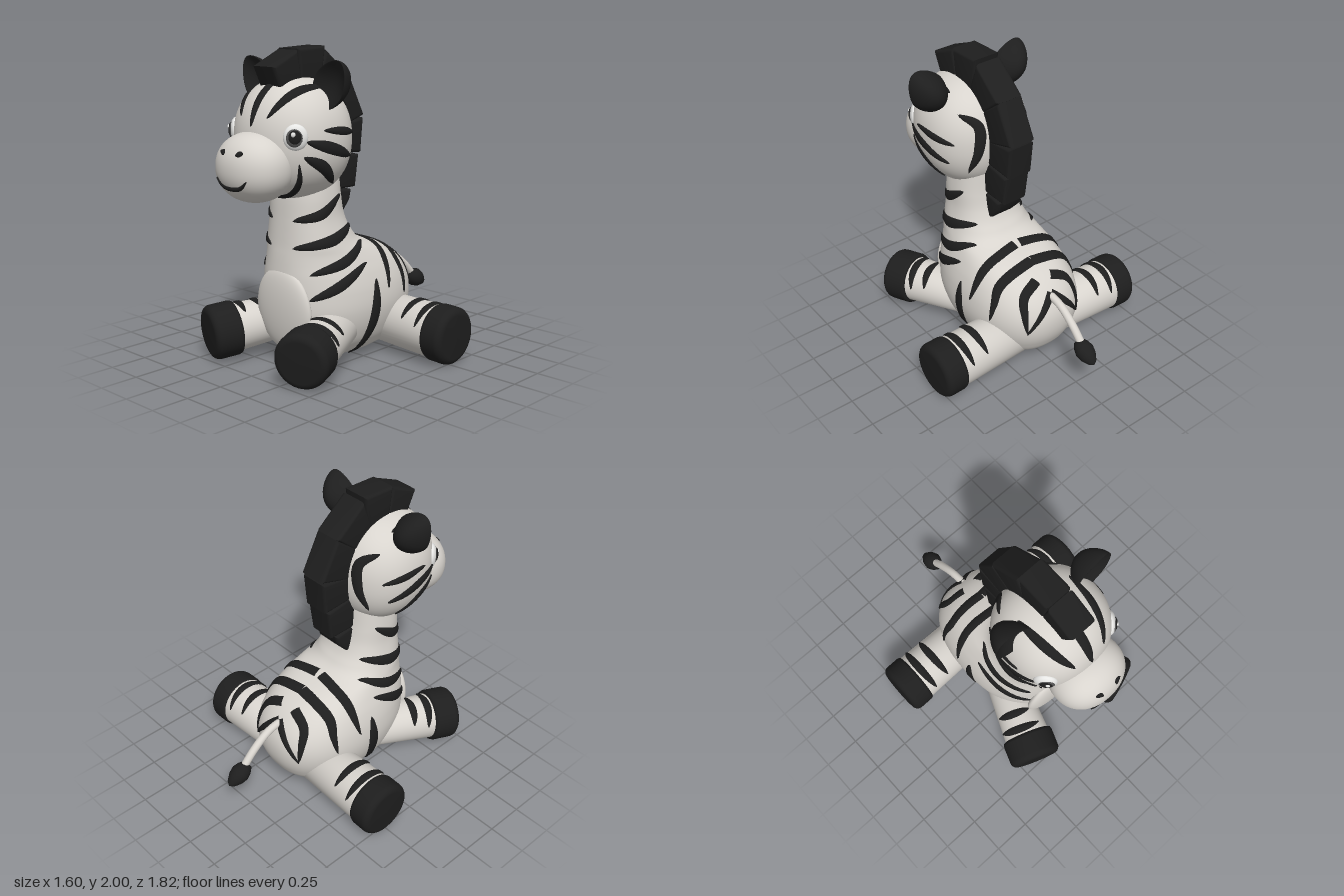
import * as THREE from 'three';
import { toCreasedNormals } from 'three/addons/utils/BufferGeometryUtils.js';

const V = (x, y, z) => new THREE.Vector3(x, y, z);
const std = (name, color, side = THREE.FrontSide) => {
  const m = new THREE.MeshStandardMaterial({ color, side });
  m.name = name;
  return m;
};

export function createModel() {
  const group = new THREE.Group();
  const white = std('warmWhite', 0xd8d4ce);
  const black = std('softBlack', 0x1e1e1e, THREE.DoubleSide);
  const grey = std('eyeGrey', 0x555555);
  const bright = std('eyeWhite', 0xececea);

  const add = (name, geo, mat) => {
    const m = new THREE.Mesh(geo, mat);
    m.name = name;
    group.add(m);
    return m;
  };
  // Adds a part on the left (+x) and its mirror image on the right
  const pair = (name, geo, mat) => {
    add(name + 'Left', geo, mat);
    const g = geo.clone().scale(-1, 1, 1);
    const idx = g.index ? Array.from(g.index.array) : Array.from({ length: g.attributes.position.count }, (_, i) => i);
    g.setIndex(idx.reverse());
    add(name + 'Right', g, mat);
  };

  // --- Implicit surfaces: value, slope and projection ---
  const superellipsoid = (c, r, n) => (p) =>
    (Math.abs((p.x - c.x) / r.x) ** n + Math.abs((p.y - c.y) / r.y) ** n + Math.abs((p.z - c.z) / r.z) ** n) ** (1 / n) - 1;
  const slope = (f, p) => {
    const e = 1e-3;
    return V(f(V(p.x + e, p.y, p.z)) - f(V(p.x - e, p.y, p.z)),
      f(V(p.x, p.y + e, p.z)) - f(V(p.x, p.y - e, p.z)),
      f(V(p.x, p.y, p.z + e)) - f(V(p.x, p.y, p.z - e))).divideScalar(2 * e);
  };
  const project = (f, p) => {
    const q = p.clone();
    for (let i = 0; i < 8; i++) {
      const g = slope(f, q);
      const step = -f(q) / Math.max(g.lengthSq(), 1e-6);
      q.add(g.multiplyScalar(step).clampLength(0, 0.05));
    }
    return q;
  };
  // Side-on [z, y] points dropped onto the left flank of a surface
  const flank = (f, pts) => pts.map(([z, y]) => {
    let lo = 0, hi = 0.6;
    for (let i = 0; i < 20; i++) {
      const mid = (lo + hi) / 2;
      if (f(V(mid, y, z)) > 0) hi = mid; else lo = mid;
    }
    return V(lo, y, z);
  });
  // Tapered band hugging a surface; an open band keeps full width at its start
  const band = (f, pts, width, open = false, lift = 0.008) => {
    const N = 30, curve = new THREE.CatmullRomCurve3(pts);
    const mid = Array.from({ length: N + 1 }, (_, i) => project(f, curve.getPoint(i / N)));
    const pos = [], idx = [];
    mid.forEach((p, i) => {
      const t = i / N;
      const along = mid[Math.min(i + 1, N)].clone().sub(mid[Math.max(i - 1, 0)]).normalize();
      const side = slope(f, p).normalize().cross(along).normalize();
      const taper = Math.max(0, open ? Math.cos(t * Math.PI / 2) : Math.sin(t * Math.PI)) ** 0.6;
      for (let j = -2; j <= 2; j++) {
        const q = project(f, p.clone().addScaledVector(side, width * taper * j / 4));
        q.addScaledVector(slope(f, q).normalize(), Math.abs(j) === 2 ? -0.002 : lift);
        pos.push(q.x, q.y, q.z);
        if (i < N && j < 2) {
          const a = i * 5 + j + 2, b = a + 5;
          idx.push(a, b, a + 1, b, b + 1, a + 1);
        }
      }
    });
    const g = new THREE.BufferGeometry();
    g.setAttribute('position', new THREE.Float32BufferAttribute(pos, 3));
    g.setIndex(idx);
    g.computeVertexNormals();
    return g;
  };

  // --- Body and neck: stacked cross-sections (y, front z, back z, half width) ---
  const rows = [
    [0.01, 0.03, -0.03, 0.02], [0.025, 0.18, -0.2, 0.14], [0.06, 0.32, -0.34, 0.225], [0.12, 0.41, -0.44, 0.29],
    [0.22, 0.47, -0.51, 0.345], [0.35, 0.5, -0.545, 0.378], [0.48, 0.505, -0.53, 0.375], [0.59, 0.505, -0.465, 0.35],
    [0.67, 0.5, -0.37, 0.32], [0.73, 0.495, -0.24, 0.295], [0.78, 0.49, -0.09, 0.275], [0.86, 0.485, -0.005, 0.25],
    [0.96, 0.48, 0.045, 0.228], [1.08, 0.475, 0.07, 0.22], [1.25, 0.46, 0.08, 0.2]];
  const spline = new THREE.CubicInterpolant(rows.map((r) => r[0]), rows.flatMap((r) => r.slice(1)), 3, new Float32Array(3));
  const section = (y) => {
    const [zf, zb, w] = spline.evaluate(Math.min(Math.max(y, 0.01), 1.25));
    return { zc: (zf + zb) / 2, rz: (zf - zb) / 2, w };
  };
  const nB = 2.35;
  const bodyF = (p) => {
    const { zc, rz, w } = section(p.y);
    return (Math.abs(p.x / w) ** nB + Math.abs((p.z - zc) / rz) ** nB) ** (1 / nB) - 1;
  };
  {
    const R = 100, S = 64, pos = [], nor = [], idx = [];
    for (let i = 0; i <= R; i++) {
      const y = 0.01 + 1.24 * (i / R) ** 1.4;
      const { zc, rz, w } = section(y);
      for (let j = 0; j <= S; j++) {
        const a = (j / S) * Math.PI * 2, s = Math.sin(a), c = Math.cos(a);
        const k = (Math.abs(s) ** nB + Math.abs(c) ** nB) ** (-1 / nB);
        const p = V(w * s * k, y, zc + rz * c * k);
        const n = slope(bodyF, p).normalize();
        pos.push(p.x, p.y, p.z);
        nor.push(n.x, n.y, n.z);
        if (i < R && j < S) {
          const q = i * (S + 1) + j, u = q + S + 1;
          idx.push(q, q + 1, u + 1, q, u + 1, u);
        }
      }
    }
    const g = new THREE.BufferGeometry();
    g.setAttribute('position', new THREE.Float32BufferAttribute(pos, 3));
    g.setAttribute('normal', new THREE.Float32BufferAttribute(nor, 3));
    g.setIndex(idx);
    add('body', g, white);
  }

  // Raised belly patch
  const belly = new THREE.SphereGeometry(1, 40, 24).scale(0.235, 0.27, 0.06).rotateX(0.06).translate(0, 0.375, 0.466);
  add('bellyPatch', belly, white);

  // Body stripes as [z, y] paths with width; open ones meet across the spine
  [
    [0.075, [[0.47, 0.95], [0.33, 1.0], [0.18, 1.1]]],
    [0.08, [[0.48, 0.78], [0.28, 0.83], [0.07, 0.89]]],
    [0.075, [[0.44, 0.62], [0.22, 0.69], [0.01, 0.78]]],
    [0.075, [[0.45, 0.46], [0.28, 0.55], [0.06, 0.66]]],
    [0.095, [[0.01, 0.55], [0.02, 0.38], [0.04, 0.2], [0.08, 0.04]]],
    [0.075, [[-0.12, 0.768], [-0.13, 0.67], [-0.12, 0.58], [-0.1, 0.47]], true],
    [0.08, [[-0.27, 0.719], [-0.275, 0.63], [-0.29, 0.53], [-0.28, 0.4]], true],
    [0.075, [[-0.39, 0.655], [-0.42, 0.59], [-0.47, 0.48], [-0.49, 0.35]], true],
  ].forEach(([w, pts, open]) => pair('bodyStripe', band(bodyF, flank(bodyF, pts), w, open), black));
  pair('rumpStripe', band(bodyF, [V(0, 0.58, -0.47), V(0.1, 0.49, -0.52), V(0.22, 0.34, -0.51)], 0.06, true), black);

  // --- Head and muzzle ---
  const blob = (name, c, r, n) => {
    const f = superellipsoid(c, r, n);
    const g = new THREE.SphereGeometry(1, 56, 40), P = g.attributes.position, Nn = g.attributes.normal;
    for (let i = 0; i < P.count; i++) {
      const d = V().fromBufferAttribute(P, i);
      const k = (Math.abs(d.x) ** n + Math.abs(d.y) ** n + Math.abs(d.z) ** n) ** (-1 / n);
      d.multiplyScalar(k).multiply(r).add(c);
      const nn = slope(f, d).normalize();
      P.setXYZ(i, d.x, d.y, d.z);
      Nn.setXYZ(i, nn.x, nn.y, nn.z);
    }
    add(name, g, white);
    return f;
  };
  const headF = blob('head', V(0, 1.455, 0.38), V(0.355, 0.375, 0.35), 2.2);
  const muzzleF = blob('muzzle', V(0, 1.305, 0.7), V(0.247, 0.212, 0.21), 2.15);

  [
    [0.055, [[0.46, 1.53], [0.3, 1.515], [0.15, 1.49]]],
    [0.08, [[0.57, 1.47], [0.4, 1.42], [0.19, 1.35]]],
    [0.08, [[0.58, 1.38], [0.45, 1.31], [0.3, 1.19]]],
    [0.08, [[0.18, 1.68], [0.08, 1.61], [0.06, 1.45], [0.12, 1.28]]],
  ].forEach(([w, pts]) => pair('cheekStripe', band(headF, flank(headF, pts), w), black));
  pair('jawStripe', band(headF, [V(0, 1.1, 0.52), V(0.15, 1.12, 0.54), V(0.25, 1.21, 0.57), V(0.28, 1.34, 0.6)], 0.06, true), black);
  pair('foreheadStripe', band(headF, [V(0.2, 1.77, 0.3), V(0.18, 1.74, 0.5), V(0.11, 1.6, 0.69)], 0.07), black);
  add('foreheadStripeMiddle', band(headF, [V(0, 1.82, 0.46), V(0, 1.73, 0.6), V(0, 1.55, 0.73)], 0.07), black);
  add('mouth', band(muzzleF, [V(-0.125, 1.255, 0.87), V(-0.07, 1.21, 0.87), V(0, 1.195, 0.88), V(0.07, 1.21, 0.87), V(0.125, 1.255, 0.87)], 0.036), black);
  pair('nostril', band(muzzleF, [V(0.05, 1.39, 0.88), V(0.07, 1.407, 0.88), V(0.095, 1.41, 0.87)], 0.04), black);

  // Eyes: layered flattened domes facing outward and forward
  const dome = (name, r, depth, dx, dy, dz, mat) => {
    const g = new THREE.SphereGeometry(1, 28, 18).scale(r, r * 1.08, depth).translate(dx, dy, dz);
    pair(name, g.rotateY(0.85).translate(0.262, 1.495, 0.612), mat);
  };
  dome('eyeball', 0.074, 0.035, 0, 0, 0, bright);
  dome('iris', 0.052, 0.022, -0.006, 0, 0.019, grey);
  dome('pupil', 0.04, 0.016, -0.006, 0.004, 0.029, black);
  dome('eyeHighlight', 0.014, 0.008, -0.016, 0.022, 0.041, bright);

  // Ears: leaf-shaped dished shells
  const ear = new THREE.SphereGeometry(1, 32, 24);
  for (let i = 0, P = ear.attributes.position; i < P.count; i++) {
    const x = P.getX(i), y = P.getY(i), z = P.getZ(i), r2 = x * x + y * y;
    P.setXYZ(i, x * (1 - 0.22 * Math.max(0, y)), y, (z > 0 ? z * 0.15 : z) + 0.75 * r2);
  }
  ear.computeVertexNormals();
  pair('ear', ear.scale(0.122, 0.165, 0.085).rotateZ(-0.6).translate(0.315, 1.79, 0.325), black);

  // Mane: rounded blocks, outlines in [z, y]
  [
    [[0.61, 1.9], [0.42, 1.975], [0.38, 1.76], [0.54, 1.72]],
    [[0.41, 1.99], [0.19, 2.0], [0.22, 1.78], [0.39, 1.77]],
    [[0.18, 1.965], [-0.03, 1.82], [0.12, 1.66], [0.24, 1.78]],
    [[-0.05, 1.79], [-0.16, 1.55], [0.06, 1.49], [0.12, 1.68]],
    [[-0.16, 1.53], [-0.14, 1.32], [0.08, 1.33], [0.08, 1.5]],
    [[-0.115, 1.3], [-0.09, 1.1], [0.12, 1.1], [0.1, 1.33]],
    [[-0.045, 1.08], [-0.035, 1.01], [0.07, 0.92], [0.12, 1.1]],
  ].forEach((pts) => {
    const b = 0.022, c = [0, 1].map((k) => pts.reduce((s, p) => s + p[k], 0) / 4);
    const shape = new THREE.Shape(pts.map(([z, y]) =>
      new THREE.Vector2(z - Math.sign(z - c[0]) * b * 0.7, y - Math.sign(y - c[1]) * b * 0.7)));
    const g = new THREE.ExtrudeGeometry(shape, { depth: 0.19 - 2 * b, bevelSize: b, bevelThickness: b, bevelSegments: 4 });
    g.translate(0, 0, b - 0.095).rotateY(-Math.PI / 2);
    add('maneBlock', toCreasedNormals(g, 0.6), black);
  });

  // --- Legs: round limbs with dark hooves and striped tops ---
  const leg = (name, from, to, r0, r1, rHoof, hoof, arcs) => {
    const dir = to.clone().sub(from), L = dir.length();
    dir.normalize();
    const down = V(0, -1, 0).addScaledVector(dir, dir.y).normalize();
    const m = new THREE.Matrix4().makeBasis(down, dir, down.clone().cross(dir)).setPosition(from);
    const lathe = (pts) => new THREE.LatheGeometry(pts.map((p) => new THREE.Vector2(...p)), 48).applyMatrix4(m);
    const rad = (y) => r0 + (r1 - r0) * (y / L), s = L - hoof, e = 0.045;
    pair(name, lathe([[0, 0], [r0, 0], [rad(s + 0.02), s + 0.02]]), white);
    const rim = [0, 1, 2, 3, 4, 5].map((i) => i * Math.PI / 10)
      .map((a) => [rHoof - e + e * Math.cos(a), L - e + e * Math.sin(a)]);
    pair(name + 'Hoof', lathe([[0, s], [rHoof - 0.025, s], [rHoof - 0.006, s + 0.008], [rHoof, s + 0.025], ...rim, [0, L + 0.004]]), black);
    const f = (p) => Math.hypot(p.x, p.z) / rad(p.y) - 1;
    arcs.forEach(([y, a0, a1, w]) => {
      const pts = [0, 1, 2, 3, 4, 5, 6].map((i) => {
        const a = a0 + (a1 - a0) * i / 6;
        return V(-Math.cos(a) * rad(y), y + 0.02 * Math.cos(a), Math.sin(a) * rad(y));
      });
      pair(name + 'Stripe', band(f, pts, w).applyMatrix4(m), black);
    });
  };
  leg('hindLeg', V(0.15, 0.215, -0.265), V(0.795, 0.193, -0.268), 0.165, 0.178, 0.187, 0.16,
    [[0.43, -1.25, 1.25, 0.06], [0.31, -1.1, 1.1, 0.06]]);
  leg('frontLeg', V(0.2, 0.25, 0.18), V(0.412, 0.187, 0.745), 0.135, 0.165, 0.178, 0.19,
    [[0.36, -1.4, 0.7, 0.06], [0.25, -1.2, 0.5, 0.06]]);

  // --- Tail with tuft ---
  const tailPath = new THREE.CatmullRomCurve3([V(0, 0.565, -0.45), V(0, 0.54, -0.57), V(0, 0.46, -0.69), V(0, 0.36, -0.79)]);
  add('tail', new THREE.TubeGeometry(tailPath, 24, 0.026, 14), white);
  const tuft = new THREE.LatheGeometry([[0, 0], [0.032, 0.006], [0.052, 0.04], [0.063, 0.08], [0.054, 0.125], [0.028, 0.172], [0, 0.19]]
    .map((p) => new THREE.Vector2(...p)), 28);
  tuft.applyQuaternion(new THREE.Quaternion().setFromUnitVectors(V(0, 1, 0), V(0, -0.48, -0.88).normalize()));
  add('tailTuft', tuft.translate(0, 0.37, -0.745), black);

  return group;
}
